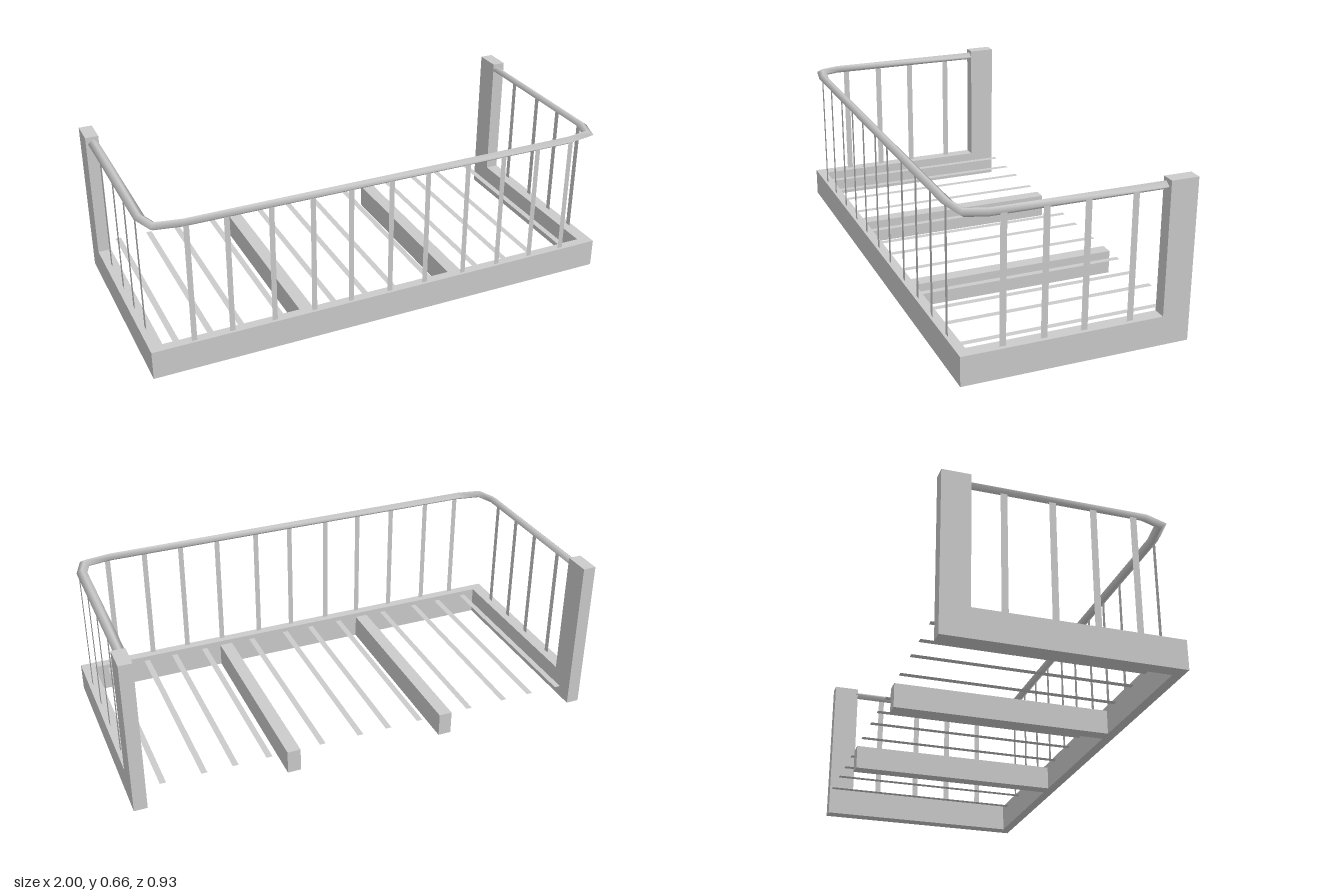
import * as THREE from 'three';

const grey = new THREE.MeshStandardMaterial({ color: 0xcccccc });
const greyThin = new THREE.MeshStandardMaterial({ color: 0xcccccc, side: THREE.DoubleSide });

// Box given by its minimum and maximum corners
function box(name, [x0, y0, z0], [x1, y1, z1]) {
  const mesh = new THREE.Mesh(new THREE.BoxGeometry(x1 - x0, y1 - y0, z1 - z0), grey);
  mesh.position.set((x0 + x1) / 2, (y0 + y1) / 2, (z0 + z1) / 2);
  mesh.name = name;
  return mesh;
}

// Flat thin strip
function strip(name, width, length, position, rotation = [0, 0, 0]) {
  const mesh = new THREE.Mesh(new THREE.PlaneGeometry(width, length), greyThin);
  mesh.position.set(...position);
  mesh.rotation.set(...rotation);
  mesh.name = name;
  return mesh;
}

// Diamond section swept along a level path of [x, z] points with mitred bends
function sweepRail(path, y, halfWidth, halfHeight) {
  const pts = path.map(([x, z]) => new THREE.Vector2(x, z));
  const positions = [], index = [];
  pts.forEach((p, i) => {
    const before = p.clone().sub(pts[Math.max(i - 1, 0)]).normalize();
    const after = pts[Math.min(i + 1, pts.length - 1)].clone().sub(p).normalize();
    const dir = before.clone().add(after).normalize();
    const mitre = halfWidth / dir.dot(i ? before : after);
    const nx = -dir.y * mitre, nz = dir.x * mitre;
    positions.push(p.x + nx, y, p.y + nz, p.x, y + halfHeight, p.y,
      p.x - nx, y, p.y - nz, p.x, y - halfHeight, p.y);
    if (i === 0) return;
    for (let k = 0; k < 4; k++) {
      const a = (i - 1) * 4 + k, b = (i - 1) * 4 + (k + 1) % 4;
      index.push(a, b, a + 4, b, b + 4, a + 4);
    }
  });
  const geometry = new THREE.BufferGeometry();
  geometry.setAttribute('position', new THREE.Float32BufferAttribute(positions, 3));
  geometry.setIndex(index);
  geometry.computeVertexNormals();
  return geometry;
}

export function createModel() {
  const model = new THREE.Group();
  model.name = 'balcony';
  const baseTop = 0.12, railY = 0.635, back = -0.463, front = 0.46;

  // Base frame, corner posts and floor joists
  model.add(box('frontBeam', [-1, 0, 0.42], [1, baseTop, front]));
  for (const [side, x0, x1] of [['left', 0.945, 1], ['right', -1, -0.945]]) {
    model.add(box(side + 'Beam', [x0, 0, -0.35], [x1, baseTop, 0.42]));
    model.add(box(side + 'Post', [x0, 0, back], [x1, 0.663, -0.35]));
  }
  for (const x of [-0.341, 0.338])
    model.add(box('joist', [x - 0.028, 0, back], [x + 0.028, 0.1, 0.42]));

  // Floor slats, level with the joist tops
  const slatXs = [-0.885, -0.745, -0.618, -0.452, -0.22, -0.078, 0.048, 0.214, 0.442, 0.583, 0.711, 0.877];
  for (const x of slatXs)
    model.add(strip('floorSlat', 0.025, 0.42 - back, [x, 0.1, (0.42 + back) / 2], [-Math.PI / 2, 0, 0]));

  // Balusters along the front and both sides
  const barHeight = railY - baseTop, barY = (railY + baseTop) / 2;
  for (const x of [-0.826, -0.671, -0.495, -0.326, -0.166, 0.008, 0.168, 0.348, 0.513, 0.674, 0.834])
    model.add(strip('frontBaluster', 0.022, barHeight, [x, barY, 0.448]));
  for (const x of [-0.975, 0.983])
    for (const z of [0.292, 0.13, -0.031, -0.219])
      model.add(strip('sideBaluster', 0.026, barHeight, [x, barY, z], [0, Math.PI / 2, 0]));

  // Handrail bent round the front corners
  const half = [[0.966, -0.36], [0.966, 0.34], [0.938, 0.421], [0.83, 0.44]];
  const path = [...half, ...half.map(([x, z]) => [-x, z]).reverse()];
  const rail = new THREE.Mesh(sweepRail(path, railY, 0.022, 0.0165), greyThin);
  rail.name = 'handrail';
  rail.position.x = -0.003;
  model.add(rail);

  return model;
}
